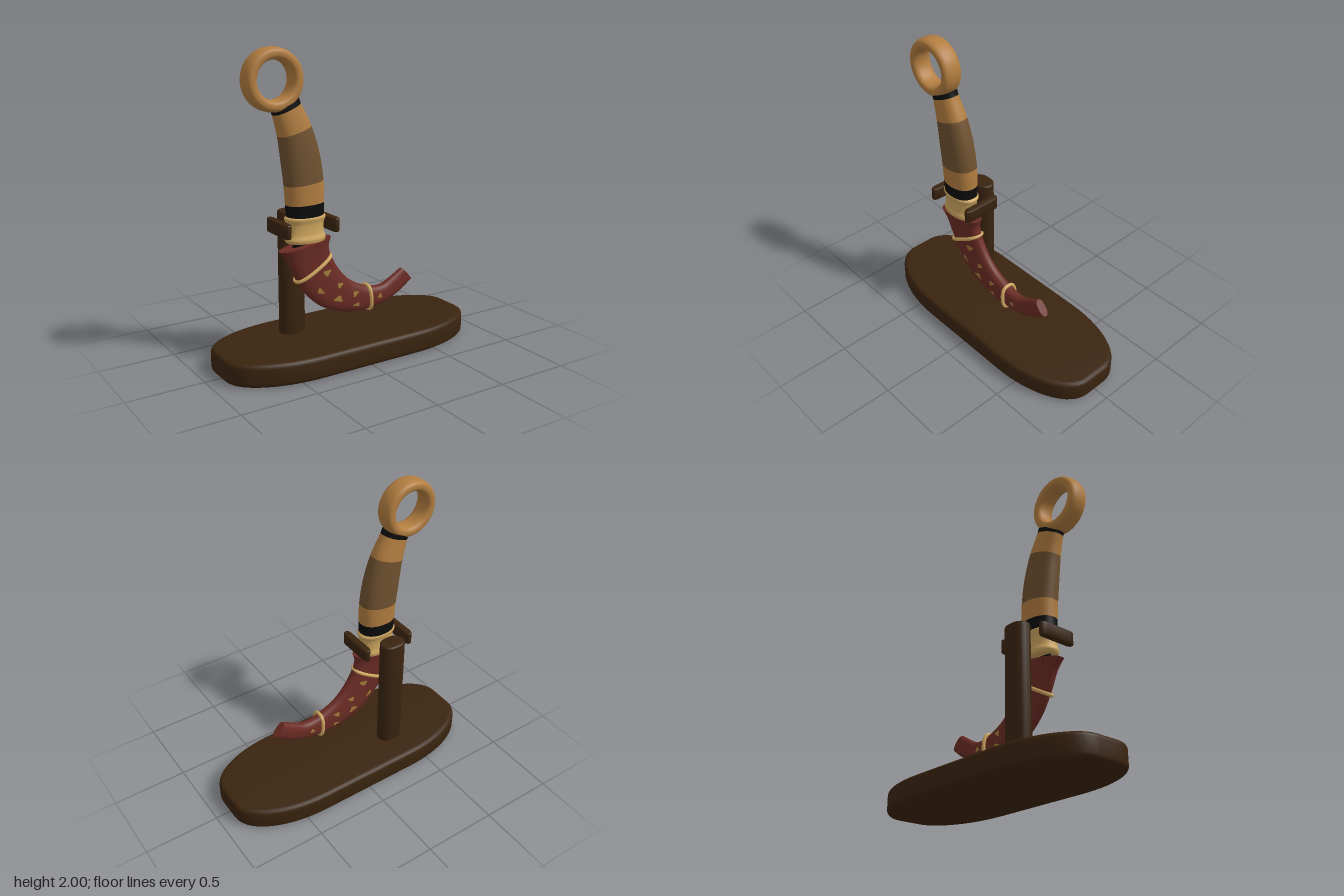
import * as THREE from 'three';
import { toCreasedNormals } from 'three/addons/utils/BufferGeometryUtils.js';

const Z = 0.066; // plane in which the knife hangs

const mat = (name, color, side = THREE.FrontSide) => {
  const m = new THREE.MeshStandardMaterial({ color, side });
  m.name = name;
  return m;
};

// Rounded slab standing on y = 0, with elliptical corners and bevelled edges
function slab(w, d, h, rx, rz, bevel) {
  const x = w / 2 - bevel, z = d / 2 - bevel, k = 0.45;
  const s = new THREE.Shape();
  s.moveTo(-x + rx, -z);
  s.lineTo(x - rx, -z);
  s.bezierCurveTo(x - rx * k, -z, x, -z + rz * k, x, -z + rz);
  s.lineTo(x, z - rz);
  s.bezierCurveTo(x, z - rz * k, x - rx * k, z, x - rx, z);
  s.lineTo(-x + rx, z);
  s.bezierCurveTo(-x + rx * k, z, -x, z - rz * k, -x, z - rz);
  s.lineTo(-x, -z + rz);
  s.bezierCurveTo(-x, -z + rz * k, -x + rx * k, -z, -x + rx, -z);
  const g = new THREE.ExtrudeGeometry(s, {
    depth: h - 2 * bevel, bevelThickness: bevel, bevelSize: bevel, bevelSegments: 4, curveSegments: 14,
  });
  g.rotateX(-Math.PI / 2).translate(0, bevel, 0);
  return toCreasedNormals(g, 0.6);
}

// Sections are [leftX, leftY, rightX, rightY, halfDepth]; returns point(t, angle, swell)
function surface(sections, n = 2.3) {
  const a = new THREE.CatmullRomCurve3(sections.map((s) => new THREE.Vector3(s[0], s[1], s[4])));
  const b = new THREE.CatmullRomCurve3(sections.map((s) => new THREE.Vector3(s[2], s[3], 0)));
  const pow = (v) => Math.sign(v) * Math.abs(v) ** (2 / n);
  return (t, angle, swell = 1) => {
    const l = a.getPoint(t), r = b.getPoint(t);
    const c = pow(Math.cos(angle)) / 2;
    return new THREE.Vector3(
      l.x * (0.5 - c) + r.x * (0.5 + c),
      l.y * (0.5 - c) + r.y * (0.5 + c),
      Z + l.z * swell * pow(Math.sin(angle)));
  };
}

// Closed skin over the surface between two parameters, with flat ends
function skin(point, t0, t1, rows, cols = 40) {
  const pos = [], idx = [];
  const ring = (t) => {
    for (let j = 0; j < cols; j++) pos.push(...point(t, (j / cols) * Math.PI * 2).toArray());
  };
  for (let i = 0; i <= rows; i++) ring(t0 + ((t1 - t0) * i) / rows);
  for (let i = 0; i < rows; i++) {
    for (let j = 0; j < cols; j++) {
      const a = i * cols + j, b = i * cols + ((j + 1) % cols);
      idx.push(a, b, a + cols, b, b + cols, a + cols);
    }
  }
  for (const [t, flip] of [[t0, true], [t1, false]]) {
    const base = pos.length / 3;
    ring(t);
    for (let j = 1; j < cols - 1; j++) {
      if (flip) idx.push(base, base + j + 1, base + j);
      else idx.push(base, base + j, base + j + 1);
    }
  }
  const g = new THREE.BufferGeometry();
  g.setAttribute('position', new THREE.Float32BufferAttribute(pos, 3));
  g.setIndex(idx);
  g.computeVertexNormals();
  return g;
}

export function createModel() {
  const root = new THREE.Group();
  const wood = mat('dark wood', 0x3a240f);
  const tan = mat('tan', 0xb27d40);
  const brown = mat('brown grip', 0x6f5130);
  const black = mat('black', 0x0c0c0d);
  const brass = mat('brass', 0xcfa760);
  const red = mat('red leather', 0x6b2c24);
  const gilt = mat('gilt', 0xa07a38, THREE.DoubleSide);

  const add = (name, geometry, material, x = 0, y = 0, z = 0) => {
    const m = new THREE.Mesh(geometry, material);
    m.name = name;
    m.position.set(x, y, z);
    root.add(m);
    return m;
  };

  // Stand
  add('base', slab(1.81, 0.72, 0.15, 0.52, 0.25, 0.03), wood);
  add('post', slab(0.176, 0.126, 0.84, 0.06, 0.05, 0.012), wood, -0.323, 0.13, -0.118);
  for (const x of [-0.493, -0.153]) {
    add('prong', slab(0.05, 0.27, 0.09, 0.014, 0.03, 0.01), wood, x, 0.86, 0.042);
  }

  // Finger ring with a rounded rectangular section
  const section = [];
  for (let i = 0; i <= 32; i++) {
    const a = (i / 32) * Math.PI * 2;
    const p = (v) => Math.sign(v) * Math.abs(v) ** 0.75;
    section.push(new THREE.Vector2(0.154 + 0.037 * p(Math.cos(a)), 0.067 * p(Math.sin(a))));
  }
  const ring = add('fingerRing', new THREE.LatheGeometry(section, 64), tan, -0.535, 1.81, Z);
  ring.rotation.x = Math.PI / 2;

  // Handle, coloured in bands from top to bottom
  const grip = surface([
    [-0.543, 1.625, -0.366, 1.7, 0.066],
    [-0.533, 1.6, -0.355, 1.67, 0.067],
    [-0.499, 1.468, -0.285, 1.53, 0.08],
    [-0.478, 1.32, -0.23, 1.36, 0.088],
    [-0.459, 1.165, -0.203, 1.19, 0.09],
    [-0.451, 1.045, -0.199, 1.052, 0.088],
    [-0.448, 0.965, -0.2, 0.97, 0.085],
  ]);
  [
    ['upperCollar', 0, 1, black], ['upperGrip', 1, 2, tan], ['middleGrip', 2, 4, brown],
    ['lowerGrip', 4, 5, tan], ['lowerCollar', 5, 6, black],
  ].forEach(([name, a, b, m]) => add(name, skin(grip, a / 6, b / 6, 8 * (b - a)), m));

  // Waisted bolster
  const bolster = surface([
    [-0.445, 0.976, -0.2, 0.976, 0.082],
    [-0.46, 0.96, -0.188, 0.96, 0.088],
    [-0.447, 0.925, -0.2, 0.925, 0.08],
    [-0.448, 0.86, -0.2, 0.86, 0.08],
    [-0.46, 0.828, -0.189, 0.828, 0.088],
    [-0.45, 0.807, -0.196, 0.807, 0.084],
  ]);
  add('bolster', skin(bolster, 0, 1, 30), brass);

  // Stub of blade between bolster and sheath
  const blade = surface([[-0.42, 0.83, -0.23, 0.83, 0.02], [-0.41, 0.74, -0.22, 0.76, 0.02]]);
  add('blade', skin(blade, 0, 1, 2), black);

  // Curved sheath, flared at the mouth
  const sheath = surface([
    [-0.506, 0.758, -0.145, 0.815, 0.067],
    [-0.455, 0.695, -0.16, 0.755, 0.058],
    [-0.405, 0.585, -0.135, 0.675, 0.052],
    [-0.325, 0.455, -0.075, 0.575, 0.05],
    [-0.205, 0.348, 0.0, 0.498, 0.049],
    [-0.04, 0.283, 0.09, 0.447, 0.048],
    [0.13, 0.27, 0.17, 0.42, 0.045],
    [0.29, 0.297, 0.255, 0.416, 0.04],
    [0.405, 0.347, 0.335, 0.452, 0.034],
    [0.5, 0.413, 0.42, 0.502, 0.028],
  ], 2.5);
  add('sheath', skin(sheath, 0, 1, 72), red);

  // Binding loops round the sheath
  const loops = [[[-0.393, 0.55, -0.15, 0.693, 0.062]], [[0.15, 0.268, 0.138, 0.435, 0.056]]];
  for (const [s] of loops) {
    const path = surface([s, s], 2.6);
    const pts = Array.from({ length: 32 }, (_, i) => path(0, (i / 32) * Math.PI * 2));
    add('binding', new THREE.TubeGeometry(new THREE.CatmullRomCurve3(pts, true), 80, 0.012, 8, true), brass);
  }

  // Gilt flecks lying on both faces: [along, angle, length, width]
  const flecks = [
    [0.28, 1.3, 0.016, 0.2], [0.35, 1.95, 0.02, 0.13], [0.4, 1.2, 0.016, 0.17], [0.46, 1.75, 0.022, 0.15],
    [0.53, 1.25, 0.016, 0.2], [0.58, 1.85, 0.018, 0.14], [0.73, 1.5, 0.014, 0.17],
  ];
  for (const [t, angle, dt, da] of flecks) {
    for (const side of [1, -1]) {
      const pos = [], idx = [], n = 12;
      pos.push(...sheath(t, side * angle, 1.06).toArray());
      for (let i = 0; i < n; i++) {
        const a = (i / n) * Math.PI * 2, r = 1 + 0.3 * Math.cos(3 * a + t * 40);
        pos.push(...sheath(t + dt * r * Math.cos(a), side * (angle + da * r * Math.sin(a)), 1.05).toArray());
        if (side > 0) idx.push(0, 1 + ((i + 1) % n), 1 + i);
        else idx.push(0, 1 + i, 1 + ((i + 1) % n));
      }
      const g = new THREE.BufferGeometry();
      g.setAttribute('position', new THREE.Float32BufferAttribute(pos, 3));
      g.setIndex(idx);
      g.computeVertexNormals();
      add('giltFleck', g, gilt);
    }
  }
  return root;
}
